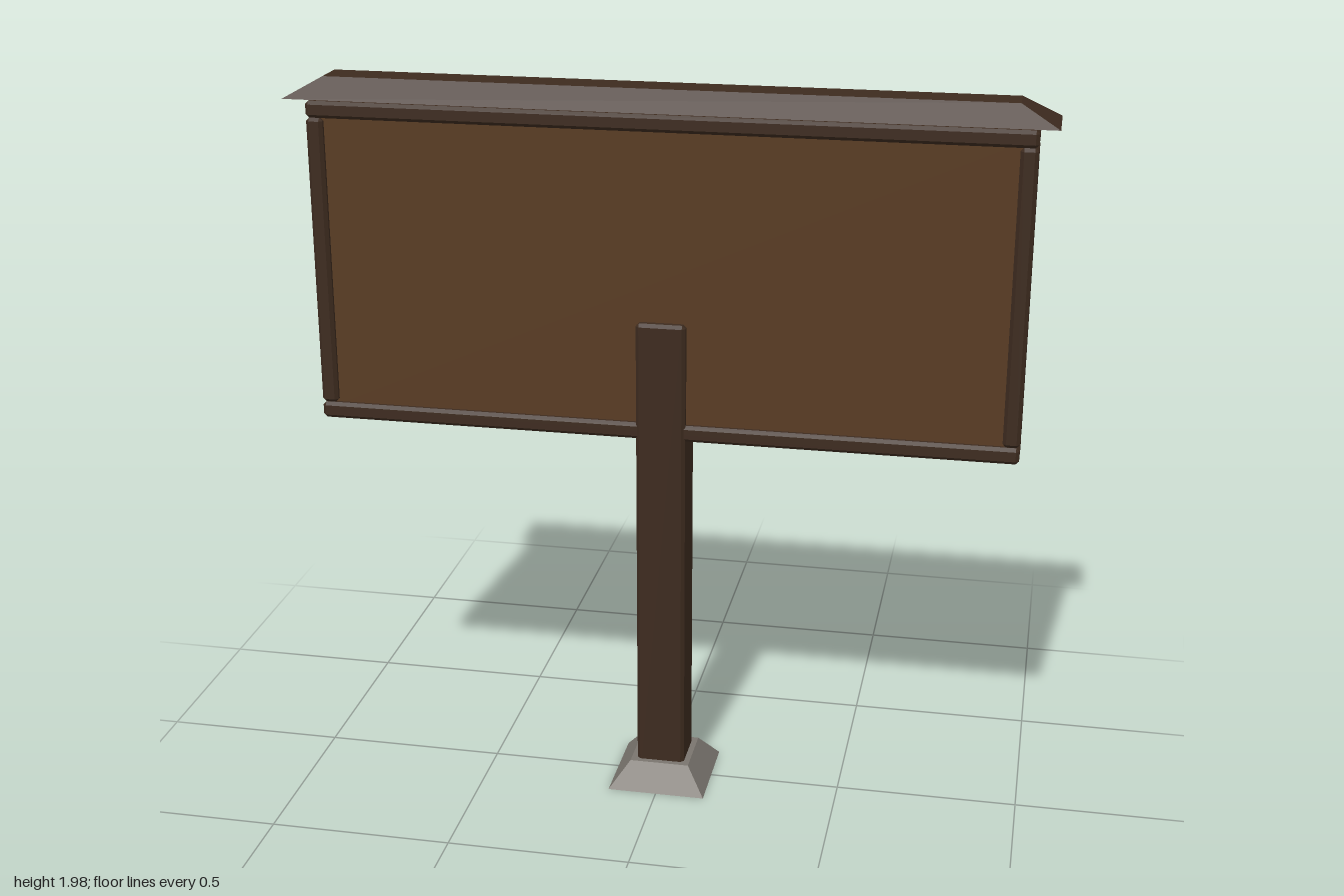
import * as THREE from 'three';
import { ConvexGeometry } from 'three/addons/geometries/ConvexGeometry.js';

const material = (color) => new THREE.MeshStandardMaterial({ color, flatShading: true });
const SIGNS = [-1, 1];

// Corner points of a box, each offset (dx, dy, dz) pulling the corner inwards
function corners(hx, hy, hz, offsets) {
  const points = [];
  for (const sx of SIGNS) for (const sy of SIGNS) for (const sz of SIGNS)
    for (const [dx, dy, dz] of offsets)
      points.push(new THREE.Vector3(sx * (hx - dx), sy * (hy - dy), sz * (hz - dz)));
  return points;
}

// Beam with every edge chamfered by c
function beam(w, h, d, c) {
  return new ConvexGeometry(corners(w / 2, h / 2, d / 2, [[0, c, c], [c, 0, c], [c, c, 0]]));
}

// Four-sided frustum: bottom half sizes, top half sizes, height
function hip(bx, bz, tx, tz, h) {
  const points = [];
  for (const sx of SIGNS) for (const sz of SIGNS) {
    points.push(new THREE.Vector3(sx * bx, 0, sz * bz));
    points.push(new THREE.Vector3(sx * tx, h, sz * tz));
  }
  return new ConvexGeometry(points);
}

export function createModel() {
  const sign = new THREE.Group();
  sign.name = 'signboard';
  const wood = material(0x3d2b1f);
  const boardWood = material(0x583b22);
  const stone = material(0x7a756e);

  const add = (name, geometry, mat, x, y) => {
    const mesh = new THREE.Mesh(geometry, mat);
    mesh.name = name;
    mesh.position.set(x, y, 0);
    sign.add(mesh);
  };

  // Stone footing: a square tapered ring around the post
  const r = Math.SQRT2;
  const profile = [[0.058, 0], [0.136, 0], [0.083, 0.07], [0.058, 0.07]]
    .map(([x, y]) => new THREE.Vector2(x * r, y));
  add('footing', new THREE.LatheGeometry(profile, 4, Math.PI / 4), stone, 0, 0);

  // Post, running up both faces of the board
  add('post', beam(0.134, 1.365, 0.134, 0.009), wood, 0, 1.365 / 2);

  // Recessed board
  add('board', new THREE.BoxGeometry(1.84, 0.82, 0.09), boardWood, 0, 1.48);

  // Frame
  add('bottomRail', beam(1.9, 0.045, 0.124, 0.009), wood, 0, 1.062);
  add('topRail', beam(1.9, 0.045, 0.124, 0.009), wood, 0, 1.897);
  add('leftStile', beam(0.045, 0.79, 0.124, 0.009), wood, 0.9275, 1.48);
  add('rightStile', beam(0.045, 0.79, 0.124, 0.009), wood, -0.9275, 1.48);

  // Hipped cap
  add('roofCap', hip(1, 0.09, 0.9, 0.047, 0.055), wood, 0, 1.929);

  return sign;
}
